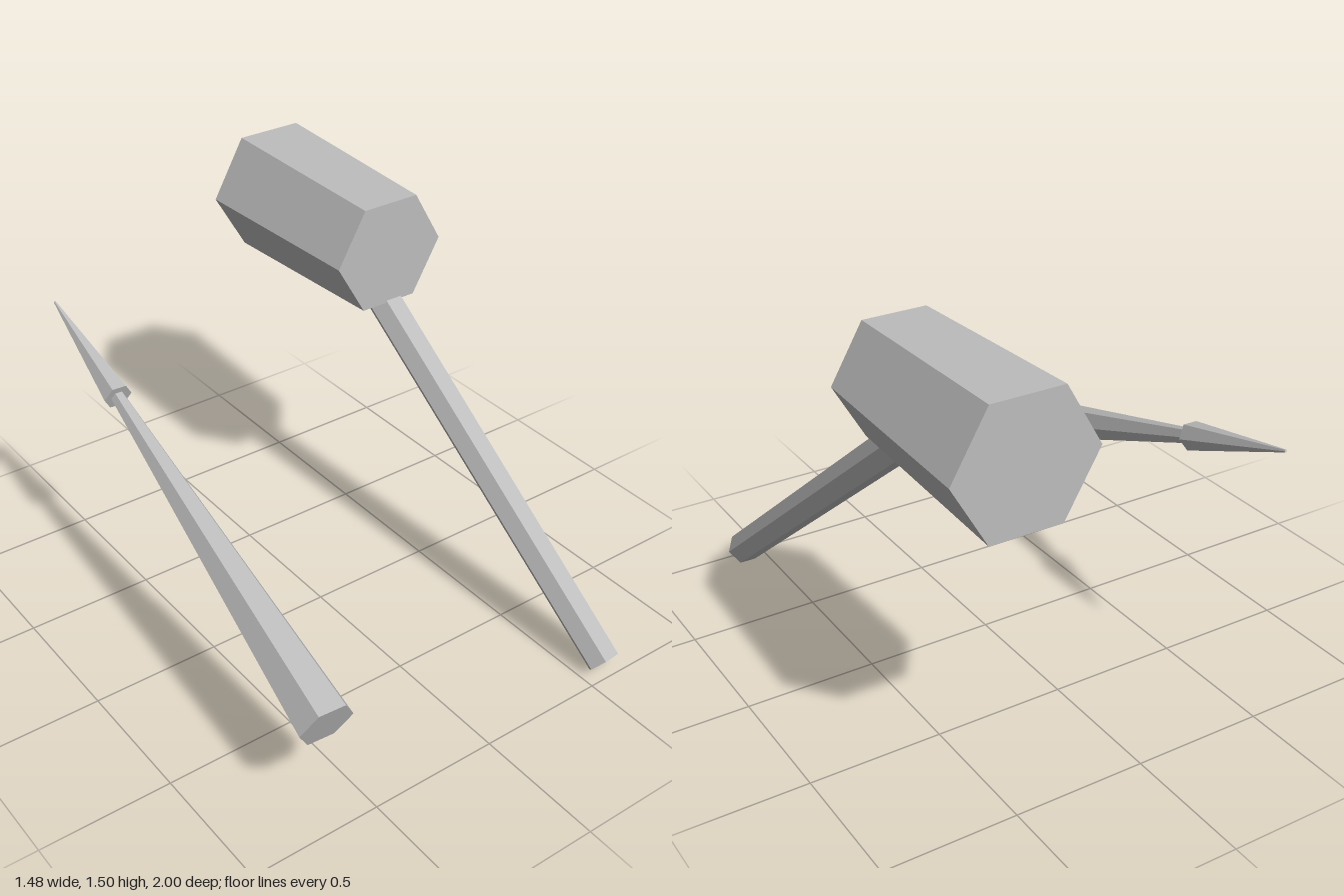
import * as THREE from 'three';

export function createModel() {
  const group = new THREE.Group();
  const grey = new THREE.MeshStandardMaterial({ color: 0xbcbcbc, flatShading: true });
  grey.name = 'plain grey';

  // Tapered hexagonal bar between two points, with two corners level with x
  function hexBar(name, from, to, r0, r1) {
    const a = new THREE.Vector3(...from), b = new THREE.Vector3(...to);
    const axis = b.clone().sub(a);
    const length = axis.length();
    axis.normalize();
    const side = new THREE.Vector3(1, 0, 0).addScaledVector(axis, -axis.x).normalize();
    const up = side.clone().cross(axis);
    const geometry = new THREE.CylinderGeometry(r1, r0, length, 6, 1, false, Math.PI / 2);
    geometry.applyMatrix4(new THREE.Matrix4().makeBasis(side, axis, up));
    const mesh = new THREE.Mesh(geometry, grey);
    mesh.name = name;
    mesh.position.copy(a).add(b).multiplyScalar(0.5);
    return mesh;
  }

  // Mallet: broad head on a slanted handle that runs up into it
  const mallet = new THREE.Group();
  mallet.name = 'mallet';
  mallet.add(
    hexBar('malletHead', [0.477, 1.28, -0.215], [0.477, 1.28, -1], 0.237, 0.264),
    hexBar('malletHandle', [0.589, 0.05, 0.965], [0.495, 1.12, -0.355], 0.066, 0.069)
  );

  // Stake: tapering shaft with a wider pointed tip
  const stake = new THREE.Group();
  stake.name = 'stake';
  stake.add(
    hexBar('stakeShaft', [-0.64, 0.385, 0.907], [-0.557, 0.891, -0.5], 0.104, 0.027),
    hexBar('stakeTip', [-0.557, 0.89, -0.495], [-0.531, 1.055, -0.998], 0.055, 0.005)
  );

  group.add(mallet, stake);
  return group;
}
